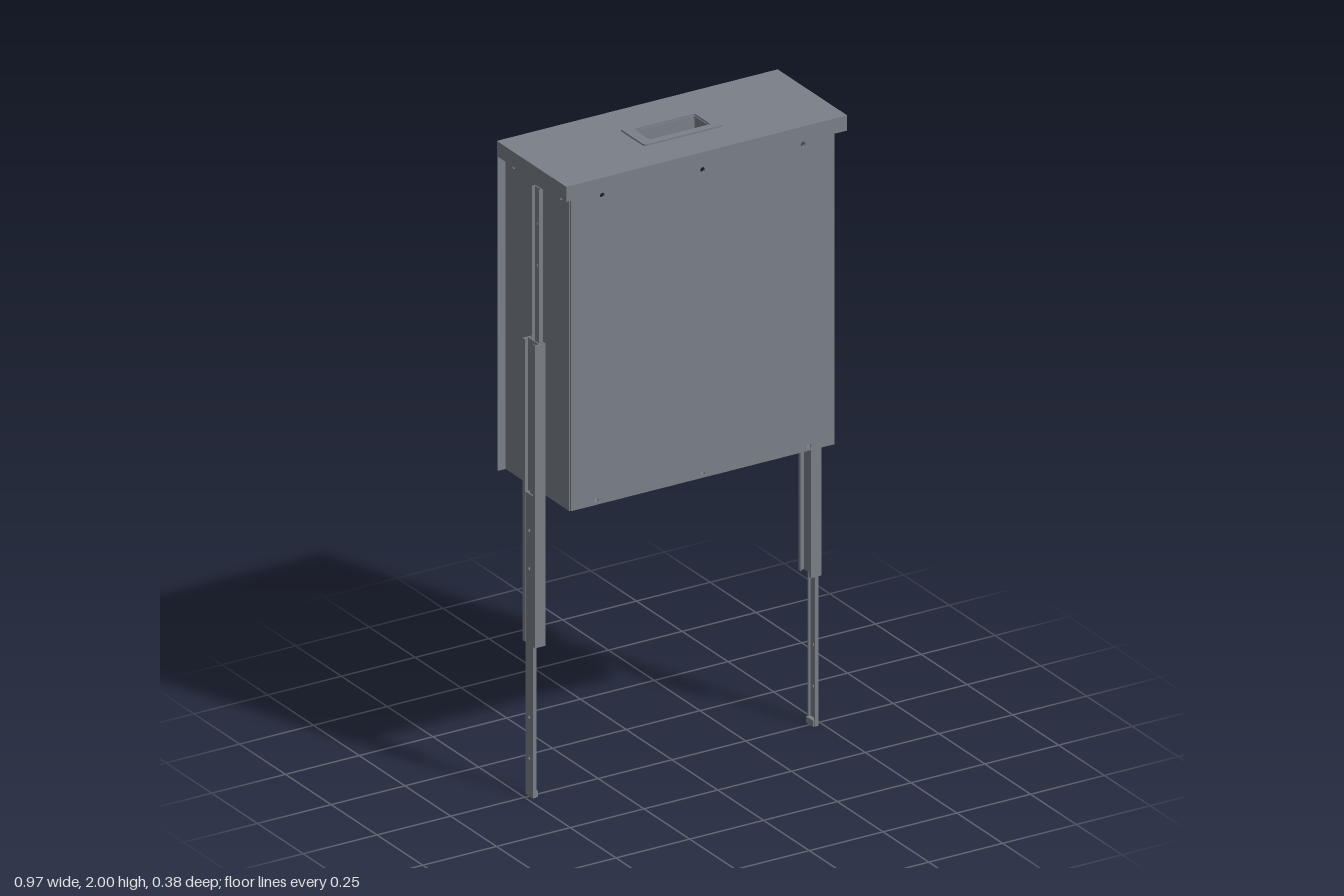
import * as THREE from 'three';

const material = new THREE.MeshStandardMaterial({ color: 0x7b8088, side: THREE.DoubleSide });

function add(parent, name, geometry, x = 0, y = 0, z = 0) {
  const mesh = new THREE.Mesh(geometry, material);
  mesh.name = name;
  mesh.position.set(x, y, z);
  parent.add(mesh);
  return mesh;
}

// Box given by its min and max corners
function block(parent, name, [x0, x1], [y0, y1], [z0, z1]) {
  const size = [Math.abs(x1 - x0), y1 - y0, z1 - z0];
  return add(parent, name, new THREE.BoxGeometry(...size), (x0 + x1) / 2, (y0 + y1) / 2, (z0 + z1) / 2);
}

// Upright sheet in u and y with round holes [u, y, radius], centred on its thickness
function sheet(u0, u1, y0, y1, thickness, holes) {
  const shape = new THREE.Shape();
  shape.moveTo(u0, y0).lineTo(u1, y0).lineTo(u1, y1).lineTo(u0, y1).closePath();
  for (const [u, y, r] of holes) {
    shape.holes.push(new THREE.Path().absarc(u, y, r, 0, Math.PI * 2, true));
  }
  return new THREE.ExtrudeGeometry(shape, { depth: thickness, bevelEnabled: false, curveSegments: 6 })
    .translate(0, 0, -thickness / 2);
}

// Sheet facing sideways; u runs along -z
function sideSheet(...args) {
  return sheet(...args).rotateY(Math.PI / 2);
}

// Rounded rectangle path centred on the origin
function rounded(target, hx, hy, r) {
  target.moveTo(hx, -hy + r);
  target.absarc(hx - r, hy - r, r, 0, Math.PI / 2, false);
  target.absarc(-hx + r, hy - r, r, Math.PI / 2, Math.PI, false);
  target.absarc(-hx + r, -hy + r, r, Math.PI, Math.PI * 1.5, false);
  target.absarc(hx - r, -hy + r, r, Math.PI * 1.5, Math.PI * 2, false);
  return target;
}

// Horizontal ring with its underside at y = 0
function ring(outer, inner, height) {
  const shape = rounded(new THREE.Shape(), ...outer);
  shape.holes.push(rounded(new THREE.Path(), ...inner));
  return new THREE.ExtrudeGeometry(shape, { depth: height, bevelEnabled: false, curveSegments: 5 })
    .rotateX(-Math.PI / 2);
}

// Open-backed drawer body
function drawerBody() {
  const body = new THREE.Group();
  body.name = 'drawerBody';
  const t = 0.006, bottom = 0.955, top = 1.988;
  const screws = [
    ...[-0.34, 0, 0.34].map(x => [x, 1.928, 0.008]),
    ...[-0.36, 0, 0.36].map(x => [x, 0.969, 0.007]),
  ];
  add(body, 'frontSheet', sheet(-0.447, 0.447, bottom, top, t, screws), 0, 0, 0.165);
  block(body, 'bottomSheet', [-0.447, 0.447], [bottom, bottom + t], [-0.19, 0.163]);
  const sideHoles = [
    [-0.12, 1.928, 0.008], [0.14, 1.928, 0.008],
    ...[1.8, 1.67, 1.2, 1.08].map(y => [0, y, 0.005]),
  ];
  for (const s of [-1, 1]) {
    add(body, 'sideWall', sideSheet(-0.163, 0.19, bottom, top, t, sideHoles), s * 0.447);
    block(body, 'backFlange', [s * 0.447, s * 0.475], [bottom, 1.96], [-0.19, -0.184]);
  }
  return body;
}

// Shallow pan that closes the top, with a recessed pull
function topCover() {
  const cover = new THREE.Group();
  cover.name = 'topCover';
  add(cover, 'coverSheet', ring([0.476, 0.19, 0.002], [0.1, 0.04, 0.004], 0.007), 0, 1.988, 0);
  add(cover, 'coverRim', ring([0.476, 0.19, 0.002], [0.468, 0.182, 0.002], 0.043), 0, 1.947, 0);
  add(cover, 'pullFrame', ring([0.136, 0.068, 0.012], [0.103, 0.043, 0.004], 0.006), 0, 1.994, 0);
  add(cover, 'pullCup', ring([0.116, 0.05, 0.012], [0.102, 0.04, 0.004], 0.056), 0, 1.936, 0);
  block(cover, 'pullFloor', [-0.11, 0.11], [1.932, 1.938], [-0.045, 0.045]);
  return cover;
}

// Channel rail: holed web plus two flanges, each spanning xs sideways
function rail(parent, name, s, webX, xs, [y0, y1], halfZ, holeYs) {
  const group = new THREE.Group();
  group.name = name;
  const t = 0.004;
  const holes = holeYs.map(y => [0, y, 0.005]);
  add(group, name + 'Web', sideSheet(-halfZ, halfZ, y0, y1, t, holes), s * webX);
  for (const z of [-1, 1]) {
    block(group, name + 'Flange', xs.map(x => s * x), [y0, y1],
      [z * (halfZ - t / 2) - t / 2, z * (halfZ - t / 2) + t / 2]);
  }
  parent.add(group);
  return group;
}

// Fully extended three-part slide on one side
function slide(s) {
  const group = new THREE.Group();
  group.name = s > 0 ? 'leftSlide' : 'rightSlide';
  rail(group, 'drawerRail', s, 0.452, [0.45, 0.464], [0.955, 1.915], 0.02, [1.8, 1.67, 1.2, 1.08]);
  const middle = rail(group, 'middleRail', s, 0.468, [0.45, 0.485], [0.48, 1.435], 0.034, []);
  // Inward lips that hold the neighbouring rails
  for (const z of [-1, 1]) {
    for (const x of [0.4515, 0.4835]) {
      block(middle, 'middleRailLip', [s * (x - 0.0015), s * (x + 0.0015)], [0.48, 1.435],
        [z * 0.0265 - 0.0045, z * 0.0265 + 0.0045]);
    }
  }
  const outer = rail(group, 'outerRail', s, 0.482, [0.472, 0.484], [0, 0.955], 0.02, [0.84, 0.72, 0.25, 0.12]);
  // Stop tab at the far end
  block(outer, 'endStop', [s * 0.466, s * 0.48], [0, 0.02], [-0.018, 0.018]);
  return group;
}

export function createModel() {
  const model = new THREE.Group();
  model.name = 'drawerWithSlides';
  model.add(drawerBody(), topCover(), slide(1), slide(-1));
  return model;
}
